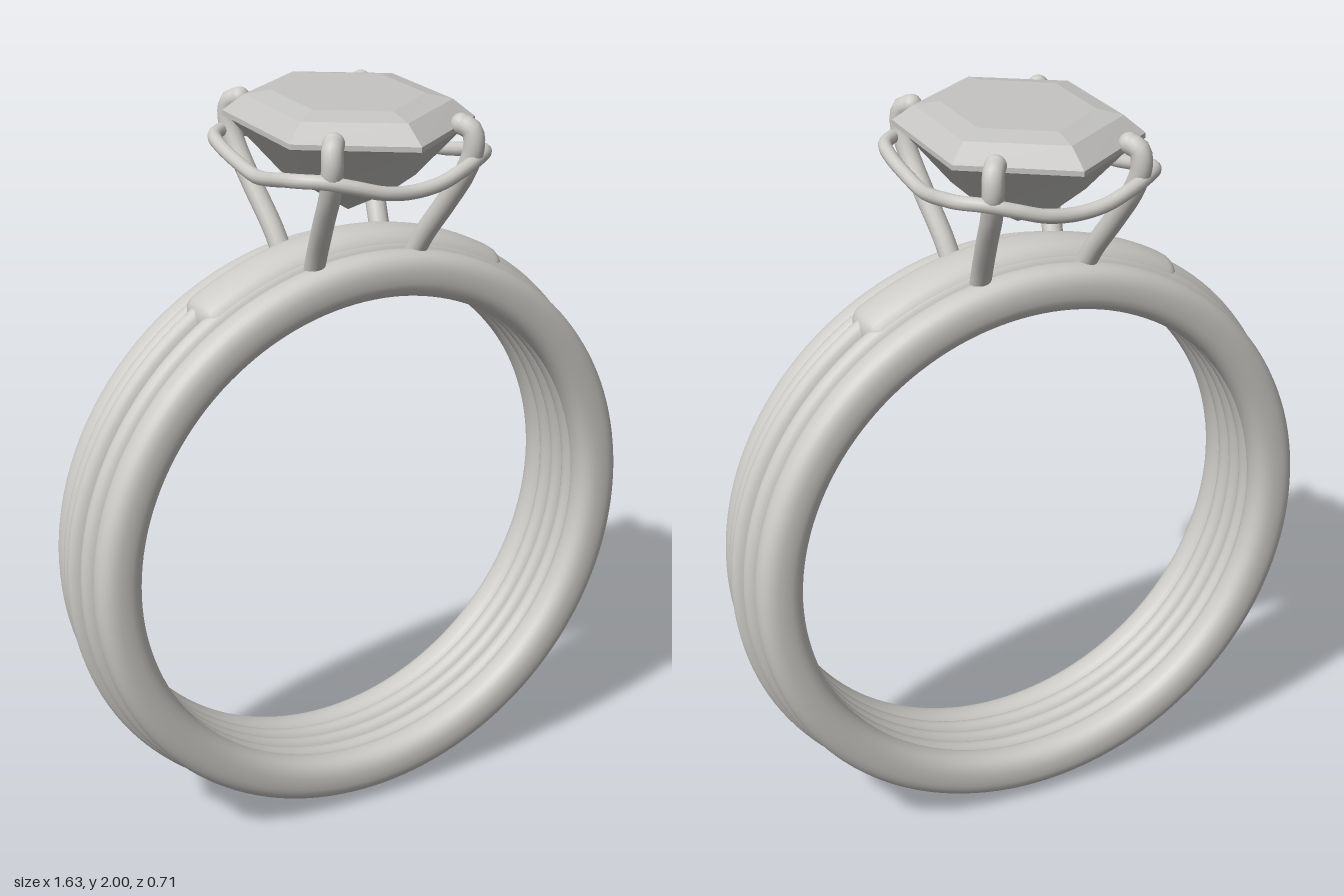
import * as THREE from 'three';
import { mergeVertices } from 'three/addons/utils/BufferGeometryUtils.js';

const metal = new THREE.MeshStandardMaterial({ color: 0xcdcbc7 });
metal.name = 'polished metal';
const stone = new THREE.MeshStandardMaterial({ color: 0xc5c4c2 });
stone.name = 'grey stone';

const CENTRE = 0.82; // height of the band's axis

function add(group, name, geometry, material) {
  const mesh = new THREE.Mesh(geometry, material);
  mesh.name = name;
  group.add(mesh);
  return mesh;
}

// Superellipse section swept round the band axis; angle is measured from the top.
// A partial sweep shrinks to rounded, closed ends.
function hoop({ r0, r1, z, hz, power = 2, from = -Math.PI, to = Math.PI, round = 0 }) {
  const N = round ? 64 : 144, M = 28, pos = [], idx = [];
  const rc = (r0 + r1) / 2, hr = (r1 - r0) / 2;
  const se = v => Math.sign(v) * Math.abs(v) ** (2 / power);
  for (let i = 0; i <= N; i++) {
    // cosine spacing gathers the rings at tapered ends
    const t = round ? (1 - Math.cos(Math.PI * i / N)) / 2 : i / N;
    const a = from + (to - from) * t;
    let s = 1;
    if (round) {
      const d = Math.min(1, Math.min(a - from, to - a) / round);
      s = Math.sqrt(Math.max(0, 1 - (1 - d) ** 2));
    }
    for (let j = 0; j < M; j++) {
      const b = j / M * Math.PI * 2;
      const r = rc + hr * s * se(Math.cos(b));
      pos.push(Math.sin(a) * r, CENTRE + Math.cos(a) * r, z + hz * s * se(Math.sin(b)));
    }
  }
  for (let i = 0; i < N; i++) for (let j = 0; j < M; j++) {
    const k = (j + 1) % M;
    const a = i * M + j, b = i * M + k, c = a + M, d = b + M;
    idx.push(a, b, c, b, d, c);
  }
  let g = new THREE.BufferGeometry();
  g.setAttribute('position', new THREE.Float32BufferAttribute(pos, 3));
  g.setIndex(idx);
  g = mergeVertices(g, 1e-5);
  g.computeVertexNormals();
  return g;
}

// Long hexagonal outline of the stone, scaled and lifted
function hexRing(x, zSide, zTip, y) {
  return [[0, zTip], [x, zSide], [x, -zSide], [0, -zTip], [-x, -zSide], [-x, zSide]]
    .map(([px, pz]) => [px, y, pz]);
}

// Faceted loft through hexagons listed from bottom to top
function gemGeometry(rings) {
  const pos = [];
  const tri = (...p) => p.forEach(v => pos.push(...v));
  for (let i = 0; i < rings.length - 1; i++) for (let j = 0; j < 6; j++) {
    const k = (j + 1) % 6;
    const a = rings[i][j], b = rings[i][k], c = rings[i + 1][j], d = rings[i + 1][k];
    if (i > 0) tri(a, b, d);
    tri(a, d, c);
  }
  const top = rings[rings.length - 1], y = top[0][1];
  for (let j = 0; j < 6; j++) tri([0, y, 0], top[j], top[(j + 1) % 6]);
  const g = new THREE.BufferGeometry();
  g.setAttribute('position', new THREE.Float32BufferAttribute(pos, 3));
  g.computeVertexNormals();
  return g;
}

const curve = (pts, closed = false) =>
  new THREE.CatmullRomCurve3(pts.map(p => new THREE.Vector3(...p)), closed);

export function createModel() {
  const model = new THREE.Group();
  model.name = 'ring';

  // Band: two broad rims, two inner beads and a central bead
  const band = new THREE.Group();
  band.name = 'band';
  model.add(band);
  for (const s of [1, -1]) {
    add(band, 'bandRim', hoop({ r0: 0.67, r1: 0.79, z: s * 0.113, hz: 0.051, power: 2.4 }), metal);
    add(band, 'bandBead', hoop({ r0: 0.672, r1: 0.803, z: s * 0.054, hz: 0.036, power: 2.2 }), metal);
  }
  add(band, 'centreBead', hoop({ r0: 0.672, r1: 0.817, z: 0, hz: 0.034, power: 2.2 }), metal);

  // Smooth bridge under the setting
  add(band, 'bridge', hoop({
    r0: 0.661, r1: 0.826, z: 0, hz: 0.085, power: 2.5, from: -0.61, to: 0.61, round: 0.07,
  }), metal);

  // Stone: pointed pavilion, thin girdle, stepped crown
  add(model, 'stone', gemGeometry([
    hexRing(0, 0, 0, 1.695),
    hexRing(0.14, 0.097, 0.195, 1.79),
    hexRing(0.245, 0.17, 0.335, 1.925),
    hexRing(0.26, 0.18, 0.355, 1.932),
    hexRing(0.26, 0.18, 0.355, 1.945),
    hexRing(0.215, 0.148, 0.29, 1.987),
    hexRing(0.16, 0.11, 0.22, 2.0),
  ]), stone);

  // Four claws curling over the girdle
  const prongs = new THREE.Group();
  prongs.name = 'prongs';
  model.add(prongs);
  const path = [[0.145, 1.57, 0.08], [0.155, 1.64, 0.12], [0.175, 1.74, 0.19], [0.19, 1.83, 0.25],
    [0.198, 1.9, 0.275], [0.194, 1.94, 0.268], [0.178, 1.952, 0.246]];
  for (const sx of [1, -1]) for (const sz of [1, -1]) {
    const pts = path.map(([x, y, z]) => [x * sx, y, z * sz]);
    const prong = new THREE.Group();
    prong.name = 'prong';
    prongs.add(prong);
    add(prong, 'prongStem', new THREE.TubeGeometry(curve(pts), 32, 0.027, 14), metal);
    const tip = add(prong, 'prongTip', new THREE.SphereGeometry(0.027, 16, 12), metal);
    tip.position.set(...pts[pts.length - 1]);
  }

  // Wavy gallery wire joining the claws, dipping between them
  const quarter = [[0.263, 1.822, 0], [0.268, 1.835, 0.08], [0.273, 1.855, 0.16],
    [0.262, 1.867, 0.225], [0.215, 1.868, 0.272], [0.15, 1.853, 0.3], [0.08, 1.833, 0.312]];
  const loop = [...quarter, [0, 1.824, 0.312],
    ...quarter.slice(1).reverse().map(([x, y, z]) => [-x, y, z])];
  loop.push(...loop.map(([x, y, z]) => [-x, y, -z]));
  add(model, 'galleryWire', new THREE.TubeGeometry(curve(loop, true), 160, 0.018, 12, true), metal);

  return model;
}
